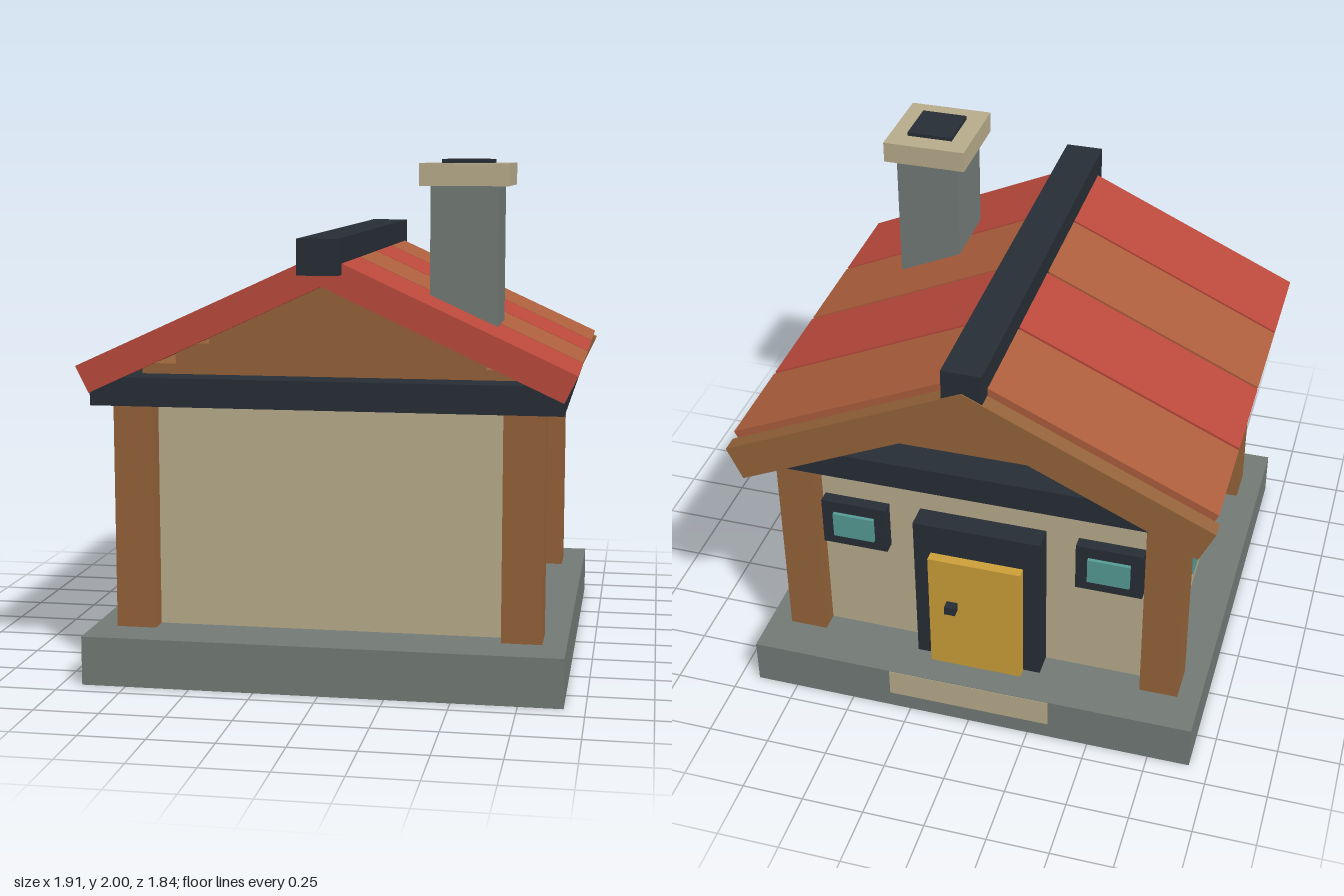
import * as THREE from 'three';

const mat = (color) => new THREE.MeshStandardMaterial({ color, flatShading: true });

export function createModel() {
  const house = new THREE.Group();
  house.name = 'house';
  const stone = mat(0x737b77), plaster = mat(0xb8ac8c), wood = mat(0x94633a), dark = mat(0x272e35);
  const red = mat(0xbb493c), clay = mat(0xad5f3d), yellow = mat(0xcc9f3a), glass = mat(0x559c96);

  // Box given by its extents on each axis
  function box(name, material, [x0, x1], [y0, y1], [z0, z1], parent = house) {
    const mesh = new THREE.Mesh(new THREE.BoxGeometry(x1 - x0, y1 - y0, z1 - z0), material);
    mesh.position.set((x0 + x1) / 2, (y0 + y1) / 2, (z0 + z1) / 2);
    mesh.name = name;
    parent.add(mesh);
    return mesh;
  }

  // Mirrored gable-shaped slab: ridge top, eave outer corner, eave lower corner, ridge underside
  function chevron(name, material, half, z0, z1) {
    const [top, outer, lower, under] = half;
    const shape = new THREE.Shape([
      top, outer, lower, under, [-lower[0], lower[1]], [-outer[0], outer[1]],
    ].map(([x, y]) => new THREE.Vector2(x, y)));
    const mesh = new THREE.Mesh(
      new THREE.ExtrudeGeometry(shape, { depth: z1 - z0, bevelEnabled: false }), material);
    mesh.position.z = z0;
    mesh.name = name;
    house.add(mesh);
  }

  // Base, walls and corner posts
  box('base', stone, [-0.92, 0.92], [0, 0.19], [-0.92, 0.92]);
  box('doorstep', plaster, [-0.335, 0.335], [0.07, 0.188], [-0.922, -0.7]);
  box('walls', plaster, [-0.75, 0.75], [0.19, 1.08], [-0.67, 0.67]);
  for (const x of [-0.75, 0.75]) {
    for (const z of [-0.67, 0.67]) {
      box('cornerPost', wood, [x - 0.078, x + 0.078], [0.19, 1.07], [z - 0.078, z + 0.078]);
    }
  }

  // Eaves beam and stepped gable filling under the roof
  box('eavesBeam', dark, [-0.9, 0.9], [1.07, 1.18], [-0.815, 0.815]);
  for (let i = 0; i < 5; i++) {
    const w = 0.73 - i * 0.133;
    box('gableStep', wood, [-w, w], [i ? 1.14 + i * 0.08 : 1.18, 1.22 + i * 0.08], [-0.68, 0.68]);
  }

  // Roof strips with narrow gaps, back bargeboard and ridge
  for (let i = 0; i < 4; i++) {
    const z1 = 0.832 - i * 0.419;
    chevron('roofStrip', i % 2 ? clay : red,
      [[0, 1.657], [0.95, 1.222], [0.9, 1.12], [0, 1.535]], z1 - 0.406, z1);
  }
  chevron('bargeboard', wood,
    [[0, 1.63], [0.956, 1.19], [0.896, 1.06], [0, 1.475]], -0.905, -0.838);
  box('ridgeBeam', dark, [-0.078, 0.078], [1.58, 1.715], [-0.9, 0.9]);

  // Chimney
  box('chimneyStack', stone, [0.37, 0.63], [1.3, 1.9], [0.25, 0.55]);
  box('chimneyCap', plaster, [0.33, 0.67], [1.9, 1.985], [0.21, 0.585]);
  box('chimneyFlue', dark, [0.407, 0.595], [1.95, 2], [0.295, 0.5]);

  // Back door
  box('doorFrame', dark, [-0.26, 0.26], [0.19, 0.865], [-0.765, -0.65]);
  box('door', yellow, [-0.19, 0.19], [0.19, 0.73], [-0.807, -0.75]);
  box('doorKnob', dark, [0.07, 0.115], [0.49, 0.527], [-0.845, -0.8]);

  // Window facing +z in its own frame, turned to face its wall
  function addWindow(w, h, x, y, z, turn) {
    const win = new THREE.Group();
    win.name = 'window';
    box('windowFrame', dark, [-w / 2, w / 2], [-h / 2, h / 2], [-0.03, 0.05], win);
    box('windowPane', glass, [0.05 - w / 2, w / 2 - 0.05], [0.05 - h / 2, h / 2 - 0.05], [0, 0.065], win);
    win.position.set(x, y, z);
    win.rotation.y = turn;
    house.add(win);
  }
  for (const s of [-1, 1]) {
    addWindow(0.27, 0.21, s * 0.525, 0.755, -0.67, Math.PI);
    addWindow(0.28, 0.31, -0.75, 0.705, s * 0.375, -Math.PI / 2);
  }
  return house;
}
